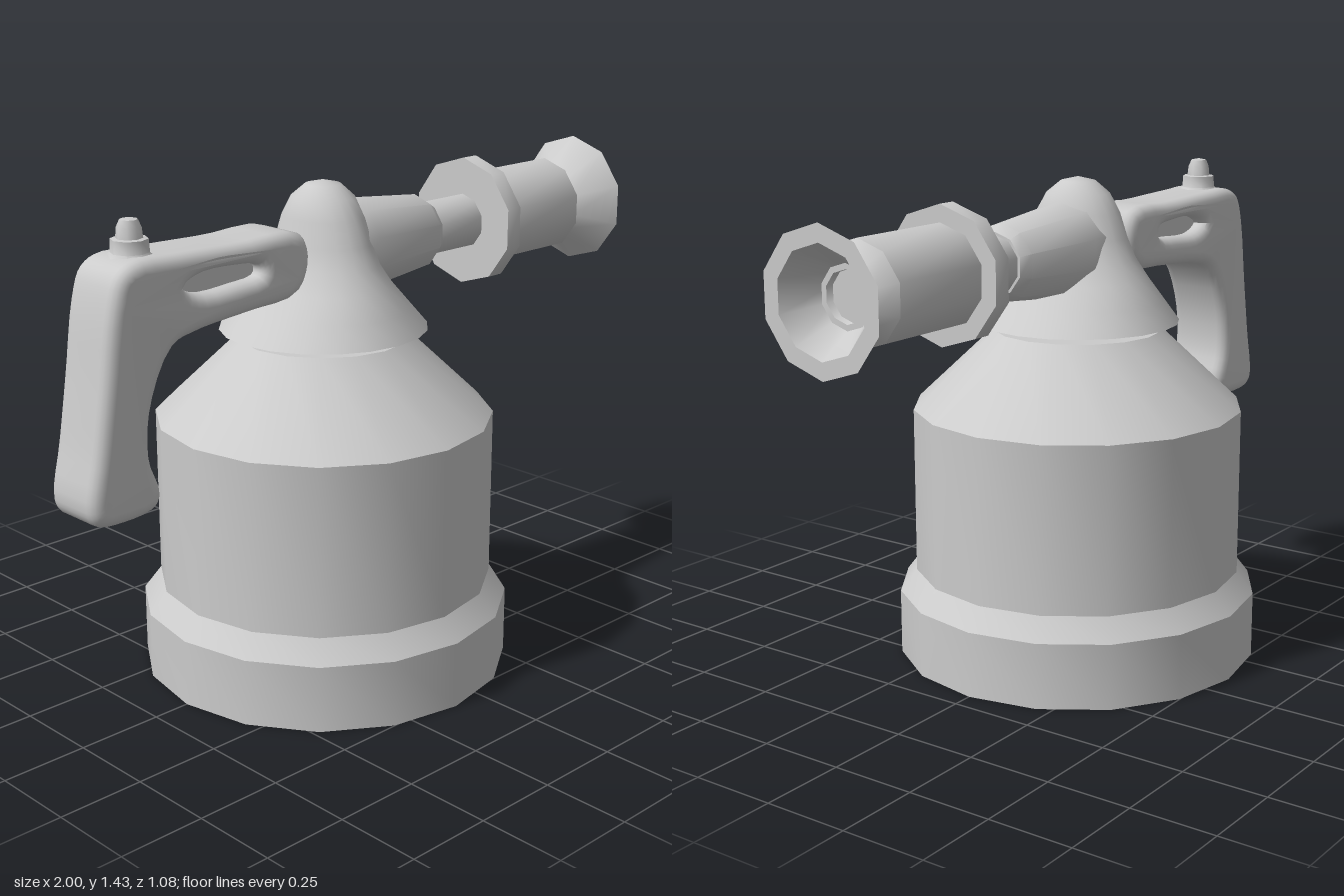
import * as THREE from 'three';
import { toCreasedNormals } from 'three/addons/utils/BufferGeometryUtils.js';

const material = new THREE.MeshStandardMaterial({ color: 0xcccccc });
const CX = -0.1;      // axis of the tank
const AXIS_Y = 1.228; // axis of the burner

const v2 = (points) => points.map(([x, y]) => new THREE.Vector2(x, y));

function part(name, geometry, crease) {
  const mesh = new THREE.Mesh(toCreasedNormals(geometry, crease), material);
  mesh.name = name;
  return mesh;
}

// Turned part around the y axis; profile runs [radius, height] upwards
function turned(name, profile, sides, crease = 0.6) {
  return part(name, new THREE.LatheGeometry(v2(profile), sides), crease);
}

// Turned ten-sided part lying along +x; profile is [radius, x]
function barrel(name, profile) {
  const geometry = new THREE.LatheGeometry(v2(profile), 10, Math.PI / 2);
  geometry.rotateZ(-Math.PI / 2).translate(0, AXIS_Y, 0);
  return part(name, geometry, 0.66);
}

// Closed smooth outline through a few points
function outline(points, count) {
  const curve = new THREE.CatmullRomCurve3(
    points.map(([x, y]) => new THREE.Vector3(x, y, 0)), true, 'centripetal');
  return curve.getPoints(count).slice(0, -1).map((p) => new THREE.Vector2(p.x, p.y));
}

function createTank() {
  const tank = turned('tank', [
    [0, 0], [0.54, 0], [0.54, 0.195], [0.49, 0.26],
    [0.49, 0.755], [0.248, 0.985], [0, 0.985],
  ], 16);
  tank.position.x = CX;
  return tank;
}

// Bell-shaped cap, wider in z than in x around its middle
function createCap() {
  const profile = v2([
    [0, 0.98], [0.13, 0.982], [0.3, 1.01], [0.237, 1.075], [0.175, 1.14], [0.135, 1.2],
    [0.115, 1.26], [0.103, 1.33], [0.085, 1.385], [0.05, 1.42], [0, 1.432],
  ]);
  const geometry = new THREE.LatheGeometry(profile, 20);
  const position = geometry.attributes.position;
  for (let i = 0; i < position.count; i++) {
    const t = THREE.MathUtils.clamp((position.getY(i) - 1.04) / 0.39, 0, 1);
    position.setZ(i, position.getZ(i) * (1 + 0.38 * Math.sin(Math.PI * t)));
  }
  const cap = part('cap', geometry, 0.75);
  cap.position.x = CX;
  return cap;
}

function createBurner() {
  const burner = new THREE.Group();
  burner.name = 'burner';
  burner.add(
    barrel('socket', [[0, -0.1], [0.145, -0.1], [0.138, 0], [0.11, 0.27], [0.09, 0.3], [0, 0.3]]),
    barrel('gasTube', [[0.082, 0.28], [0.082, 0.5]]),
    barrel('flange', [[0, 0.48], [0.192, 0.48], [0.192, 0.535], [0, 0.535]]),
    barrel('flameTube', [[0.143, 0.52], [0.143, 0.86], [0.098, 0.905], [0.07, 0.905]]),
    // flared mouth: outside, rim, then the hollow inside
    barrel('mouth', [[0.098, 0.9], [0.197, 1], [0.148, 1], [0.07, 0.88], [0, 0.88]]),
  );
  return burner;
}

function createHandle() {
  const handle = new THREE.Group();
  handle.name = 'handle';

  const shape = new THREE.Shape(outline([
    [-0.26, 1.315], [-0.48, 1.322], [-0.7, 1.328], [-0.83, 1.328], [-0.88, 1.3], [-0.91, 1.22],
    [-0.94, 1.03], [-0.97, 0.85], [-0.997, 0.7], [-0.975, 0.657], [-0.885, 0.645],
    [-0.79, 0.66], [-0.768, 0.7], [-0.8, 0.8], [-0.79, 0.94], [-0.715, 1.085],
    [-0.63, 1.112], [-0.45, 1.13], [-0.275, 1.152], [-0.232, 1.24],
  ], 72));
  shape.holes.push(new THREE.Path(outline([
    [-0.67, 1.235], [-0.62, 1.262], [-0.5, 1.265], [-0.41, 1.25],
    [-0.41, 1.225], [-0.5, 1.212], [-0.62, 1.21],
  ], 24)));
  const bevel = 0.035;
  const depth = 0.2 - 2 * bevel;
  const geometry = new THREE.ExtrudeGeometry(shape, {
    depth, bevelEnabled: true, bevelSize: bevel, bevelOffset: -bevel,
    bevelThickness: bevel, bevelSegments: 4, curveSegments: 1,
  });
  geometry.translate(0, 0, -depth / 2);
  handle.add(part('grip', geometry, 0.8));

  // floor of the oval recess on both sides
  const web = part('recessFloor', new THREE.BoxGeometry(0.34, 0.1, 0.1), 0.5);
  web.position.set(-0.54, 1.237, 0);
  handle.add(web);

  // push button on a small collar
  const button = turned('button', [
    [0.075, 1.31], [0.06, 1.328], [0.052, 1.335], [0.05, 1.37], [0.036, 1.372],
    [0.033, 1.4], [0.024, 1.42], [0, 1.425],
  ], 8, 0.85);
  button.position.x = -0.777;
  handle.add(button);
  return handle;
}

export function createModel() {
  const model = new THREE.Group();
  model.name = 'blowtorch';
  model.add(createTank(), createCap(), createBurner(), createHandle());
  return model;
}
